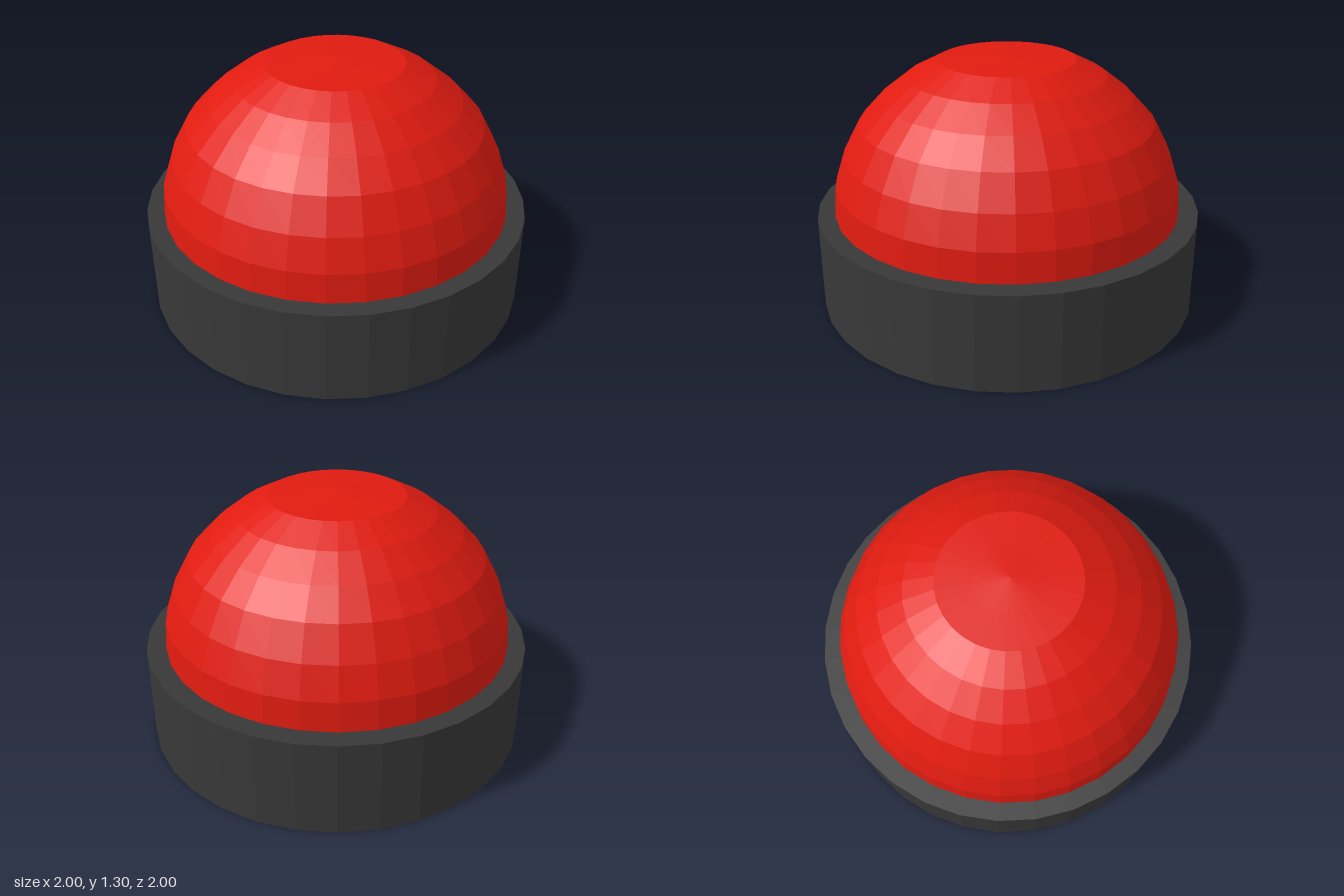
import * as THREE from 'three';

const SIDES = 32;

function flat(color) {
  return new THREE.MeshStandardMaterial({ color, flatShading: true });
}

export function createModel() {
  const model = new THREE.Group();
  model.name = 'domeButton';

  // Round dark base
  const base = new THREE.Mesh(new THREE.CylinderGeometry(1, 1, 0.5, SIDES), flat(0x383838));
  base.name = 'base';
  base.position.y = 0.25;
  model.add(base);

  // Faceted dome, with its top flattened into a shallow cone
  const profile = [
    [0.908, 0.46], [0.906, 0.5], [0.895, 0.65], [0.842, 0.81], [0.757, 0.97],
    [0.64, 1.095], [0.505, 1.2], [0.35, 1.28], [0.175, 1.29], [0, 1.305],
  ].map(([r, y]) => new THREE.Vector2(r, y));
  const dome = new THREE.Mesh(new THREE.LatheGeometry(profile, SIDES), flat(0xe01b10));
  dome.name = 'dome';
  dome.position.set(-0.007, 0, 0.002);
  model.add(dome);

  return model;
}
